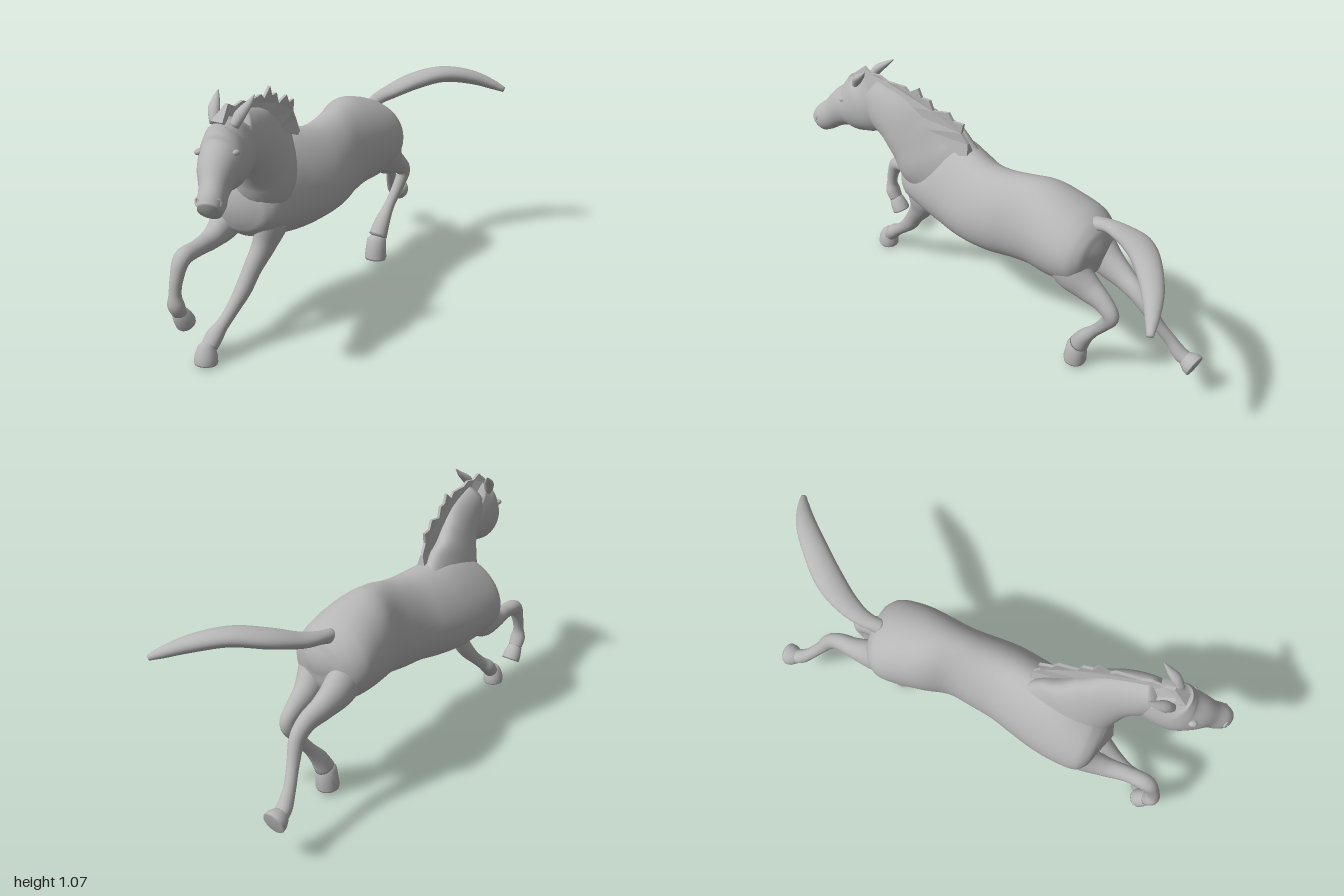
import * as THREE from 'three';

const coat = new THREE.MeshStandardMaterial({ color: 0xb6b6b6 });
coat.name = 'grey coat';

const X = new THREE.Vector3(1, 0, 0), Y = new THREE.Vector3(0, 1, 0), Z = new THREE.Vector3(0, 0, 1);

// Smooth tube through stations [x, y, z, halfWidth, halfHeight, egg]; egg > 0 widens the underside.
// level keeps the width axis horizontal; facing fixes the direction of every cross-section.
function loft(stations, { around = 24, perSpan = 5, level = false, facing = null } = {}) {
  const path = new THREE.CatmullRomCurve3(stations.map(s => new THREE.Vector3(s[0], s[1], s[2])));
  const size = new THREE.CatmullRomCurve3(
    stations.map(s => new THREE.Vector3(s[3], s[4], s[5] || 0)), false, 'catmullrom', 0.5);
  const rings = (stations.length - 1) * perSpan;
  const pos = [], idx = [], ends = [];
  for (let i = 0; i <= rings; i++) {
    const c = path.getPoint(i / rings), s = size.getPoint(i / rings), t = facing || path.getTangent(i / rings);
    const side = level ? Y.clone().cross(t).normalize() : X.clone().addScaledVector(t, -t.x).normalize();
    const up = t.clone().cross(side);
    for (let j = 0; j < around; j++) {
      const a = j / around * Math.PI * 2;
      const p = c.clone()
        .addScaledVector(side, s.x * Math.cos(a) * (1 - s.z * Math.sin(a)))
        .addScaledVector(up, s.y * Math.sin(a));
      pos.push(p.x, p.y, p.z);
      if (i < rings) {
        const k = i * around + j, n = i * around + (j + 1) % around;
        idx.push(k, n, k + around, n, n + around, k + around);
      }
    }
    if (i === 0 || i === rings) ends.push(c.addScaledVector(t, (i ? 0.35 : -0.35) * Math.min(s.x, s.y)));
  }
  // rounded ends
  const first = pos.length / 3, last = rings * around;
  ends.forEach(e => pos.push(e.x, e.y, e.z));
  for (let j = 0; j < around; j++) {
    const n = (j + 1) % around;
    idx.push(n, j, first, last + j, last + n, first + 1);
  }
  const g = new THREE.BufferGeometry();
  g.setAttribute('position', new THREE.Float32BufferAttribute(pos, 3));
  g.setIndex(idx);
  g.computeVertexNormals();
  return g;
}

function add(group, name, geometry) {
  const m = new THREE.Mesh(geometry, coat);
  m.name = name;
  group.add(m);
  return m;
}

// Flared hoof from the pastern to the centre of its sole
function hoof(group, top, sole, rTop, rSole) {
  const a = new THREE.Vector3(...top), b = new THREE.Vector3(...sole);
  const h = a.distanceTo(b);
  const profile = [[0, 0], [rSole * 0.94, 0], [rSole, h * 0.1], [rSole * 0.95, h * 0.45], [rTop, h * 0.9], [rTop * 0.6, h * 1.1], [0, h * 1.15]];
  const m = add(group, 'hoof', new THREE.LatheGeometry(profile.map(p => new THREE.Vector2(...p)), 24));
  m.position.copy(b);
  m.quaternion.setFromUnitVectors(Y, a.sub(b).normalize());
}

export function createModel() {
  const horse = new THREE.Group();
  horse.name = 'gallopingHorse';

  // Torso: z, centre x, top, bottom, half width, egg
  const torso = [
    [-0.483, -0.085, 0.685, 0.585, 0.06, 0], [-0.472, -0.085, 0.72, 0.53, 0.108, 0], [-0.44, -0.09, 0.757, 0.475, 0.15, 0],
    [-0.39, -0.095, 0.785, 0.45, 0.172, 0], [-0.30, -0.09, 0.815, 0.44, 0.172, 0.03], [-0.20, -0.085, 0.835, 0.435, 0.157, 0.06],
    [-0.10, -0.07, 0.825, 0.42, 0.137, 0.1], [0, -0.063, 0.80, 0.405, 0.146, 0.15], [0.10, -0.063, 0.79, 0.40, 0.155, 0.2],
    [0.20, -0.08, 0.80, 0.388, 0.162, 0.22], [0.30, -0.1, 0.81, 0.387, 0.165, 0.25], [0.40, -0.11, 0.79, 0.405, 0.17, 0.25],
    [0.50, -0.115, 0.74, 0.43, 0.165, 0.2], [0.54, -0.11, 0.70, 0.46, 0.135, 0.12], [0.56, -0.1, 0.67, 0.5, 0.085, 0],
  ];
  add(horse, 'torso', loft(torso.map(([z, x, t, b, w, e]) => [x, (t + b) / 2, z, w, (t - b) / 2, e]),
    { around: 40, perSpan: 4, facing: Z }));

  add(horse, 'neck', loft([
    [-0.09, 0.63, 0.30, 0.1, 0.185, 0.35], [-0.065, 0.71, 0.40, 0.115, 0.2, 0.4], [-0.032, 0.79, 0.48, 0.1, 0.16, 0.3],
    [-0.005, 0.845, 0.55, 0.087, 0.132, 0.18], [0.01, 0.885, 0.63, 0.077, 0.115, 0.1], [0.015, 0.92, 0.70, 0.062, 0.095],
  ], { around: 32, level: true }));

  // Head with eyes, nostrils and ears
  const head = new THREE.Group();
  head.name = 'head';
  horse.add(head);
  add(head, 'skull', loft([
    [0.012, 0.94, 0.675, 0.06, 0.1], [0.018, 0.88, 0.72, 0.083, 0.138], [0.03, 0.84, 0.78, 0.09, 0.122],
    [0.05, 0.815, 0.84, 0.076, 0.092], [0.076, 0.775, 0.895, 0.055, 0.068], [0.096, 0.742, 0.935, 0.052, 0.062],
    [0.106, 0.718, 0.96, 0.044, 0.05],
  ], { around: 32, level: true }));
  for (const [x, y, z] of [[-0.024, 0.883, 0.85], [0.102, 0.89, 0.805]]) {
    const eye = add(head, 'eye', new THREE.SphereGeometry(0.016, 16, 12));
    eye.position.set(x, y, z);
    eye.scale.set(1, 0.75, 1.2);
  }
  for (const [x, z, turn] of [[0.072, 0.978, -0.35], [0.138, 0.955, 0.95]]) {
    const nostril = add(head, 'nostril', new THREE.TorusGeometry(0.013, 0.006, 8, 18));
    nostril.position.set(x, 0.755, z);
    nostril.rotation.set(-0.2, turn, 0);
  }
  for (const [bx, tx, tipY] of [[-0.028, -0.08, 1.06], [0.06, 0.085, 1.065]]) {
    add(head, 'ear', loft([
      [bx, 0.965, 0.755, 0.018, 0.018], [bx + (tx - bx) * 0.4, 1.005, 0.73, 0.023, 0.019],
      [bx + (tx - bx) * 0.75, 1.035, 0.695, 0.015, 0.012], [tx, tipY, 0.665, 0.002, 0.002],
    ], { around: 14 }));
  }

  // Mane: jagged crest in the z-y plane, thick at the root, bent sideways to follow the neck
  const crest = [
    [0.20, 0.77], [0.21, 0.84], [0.24, 0.885], [0.23, 0.93], [0.28, 0.93], [0.30, 0.965], [0.375, 0.95], [0.39, 0.995],
    [0.43, 0.995], [0.445, 1.035], [0.495, 1.0], [0.515, 1.02], [0.565, 1.018], [0.61, 1.015], [0.65, 1.03], [0.70, 1.02],
    [0.74, 1.04], [0.80, 0.985], [0.76, 0.95], [0.60, 0.93], [0.42, 0.86],
  ];
  const mane = new THREE.ExtrudeGeometry(new THREE.Shape(crest.map(p => new THREE.Vector2(...p))),
    { depth: 0.02, bevelEnabled: false });
  mane.translate(0, 0, -0.01).rotateY(-Math.PI / 2);
  const mp = mane.attributes.position;
  for (let i = 0; i < mp.count; i++) {
    const z = mp.getZ(i), root = mp.getY(i) < 0.83 + 0.32 * (z - 0.25);
    const bend = 0.018 - 0.08 * Math.max(0, (0.70 - z) / 0.48) ** 1.4;
    mp.setX(i, mp.getX(i) * (root ? 2.6 : 0.6) + bend);
  }
  mane.computeVertexNormals();
  add(horse, 'mane', mane);

  add(horse, 'tail', loft([
    [-0.11, 0.735, -0.43, 0.03, 0.03], [-0.113, 0.755, -0.5, 0.034, 0.025], [-0.095, 0.772, -0.58, 0.046, 0.029],
    [-0.04, 0.806, -0.69, 0.058, 0.036], [0.05, 0.83, -0.8, 0.053, 0.036], [0.15, 0.81, -0.9, 0.042, 0.032],
    [0.235, 0.772, -0.963, 0.025, 0.022], [0.28, 0.748, -0.99, 0.013, 0.012],
  ], { level: true }));

  // Legs, each from shoulder or hip to pastern, then hoof
  const legs = {
    rightFrontLeg: [[
      [-0.19, 0.62, 0.41, 0.05, 0.07], [-0.2, 0.485, 0.48, 0.06, 0.08], [-0.19, 0.435, 0.6, 0.043, 0.044],
      [-0.18, 0.43, 0.7, 0.034, 0.033], [-0.18, 0.418, 0.79, 0.035, 0.034], [-0.18, 0.355, 0.825, 0.026, 0.028],
      [-0.18, 0.29, 0.84, 0.024, 0.025], [-0.18, 0.245, 0.838, 0.035, 0.031], [-0.18, 0.205, 0.82, 0.032, 0.027],
    ], [-0.18, 0.21, 0.822], [-0.18, 0.147, 0.784], 0.032, 0.041],
    leftFrontLeg: [[
      [-0.03, 0.62, 0.4, 0.05, 0.08], [-0.015, 0.5, 0.44, 0.058, 0.085], [-0.03, 0.4, 0.48, 0.045, 0.055],
      [-0.045, 0.32, 0.535, 0.036, 0.04], [-0.055, 0.245, 0.585, 0.033, 0.036], [-0.065, 0.18, 0.645, 0.026, 0.028],
      [-0.075, 0.13, 0.7, 0.026, 0.027], [-0.082, 0.1, 0.735, 0.035, 0.033], [-0.086, 0.065, 0.765, 0.033, 0.031],
    ], [-0.087, 0.08, 0.78], [-0.087, 0.003, 0.788], 0.033, 0.047],
    leftHindLeg: [[
      [-0.02, 0.69, -0.33, 0.04, 0.05], [-0.005, 0.61, -0.36, 0.066, 0.085], [-0.01, 0.54, -0.405, 0.068, 0.088],
      [-0.025, 0.485, -0.48, 0.053, 0.064], [-0.03, 0.447, -0.555, 0.038, 0.044], [-0.03, 0.4, -0.602, 0.03, 0.036],
      [-0.038, 0.33, -0.568, 0.025, 0.028], [-0.05, 0.25, -0.51, 0.024, 0.025], [-0.056, 0.18, -0.458, 0.036, 0.035],
      [-0.06, 0.125, -0.43, 0.042, 0.042],
    ], [-0.06, 0.12, -0.42], [-0.06, 0.018, -0.41], 0.044, 0.05],
    rightHindLeg: [[
      [-0.16, 0.69, -0.34, 0.04, 0.05], [-0.17, 0.61, -0.38, 0.066, 0.085], [-0.17, 0.54, -0.45, 0.062, 0.08],
      [-0.165, 0.495, -0.55, 0.045, 0.055], [-0.155, 0.465, -0.63, 0.036, 0.042], [-0.155, 0.42, -0.685, 0.03, 0.036],
      [-0.175, 0.34, -0.735, 0.024, 0.027], [-0.2, 0.27, -0.785, 0.024, 0.026], [-0.213, 0.215, -0.83, 0.031, 0.031],
      [-0.22, 0.195, -0.86, 0.031, 0.031],
    ], [-0.22, 0.2, -0.85], [-0.22, 0.183, -0.903], 0.034, 0.049],
  };
  for (const [name, [stations, top, sole, rTop, rSole]] of Object.entries(legs)) {
    const leg = new THREE.Group();
    leg.name = name;
    add(leg, 'limb', loft(stations));
    hoof(leg, top, sole, rTop, rSole);
    horse.add(leg);
  }
  return horse;
}
